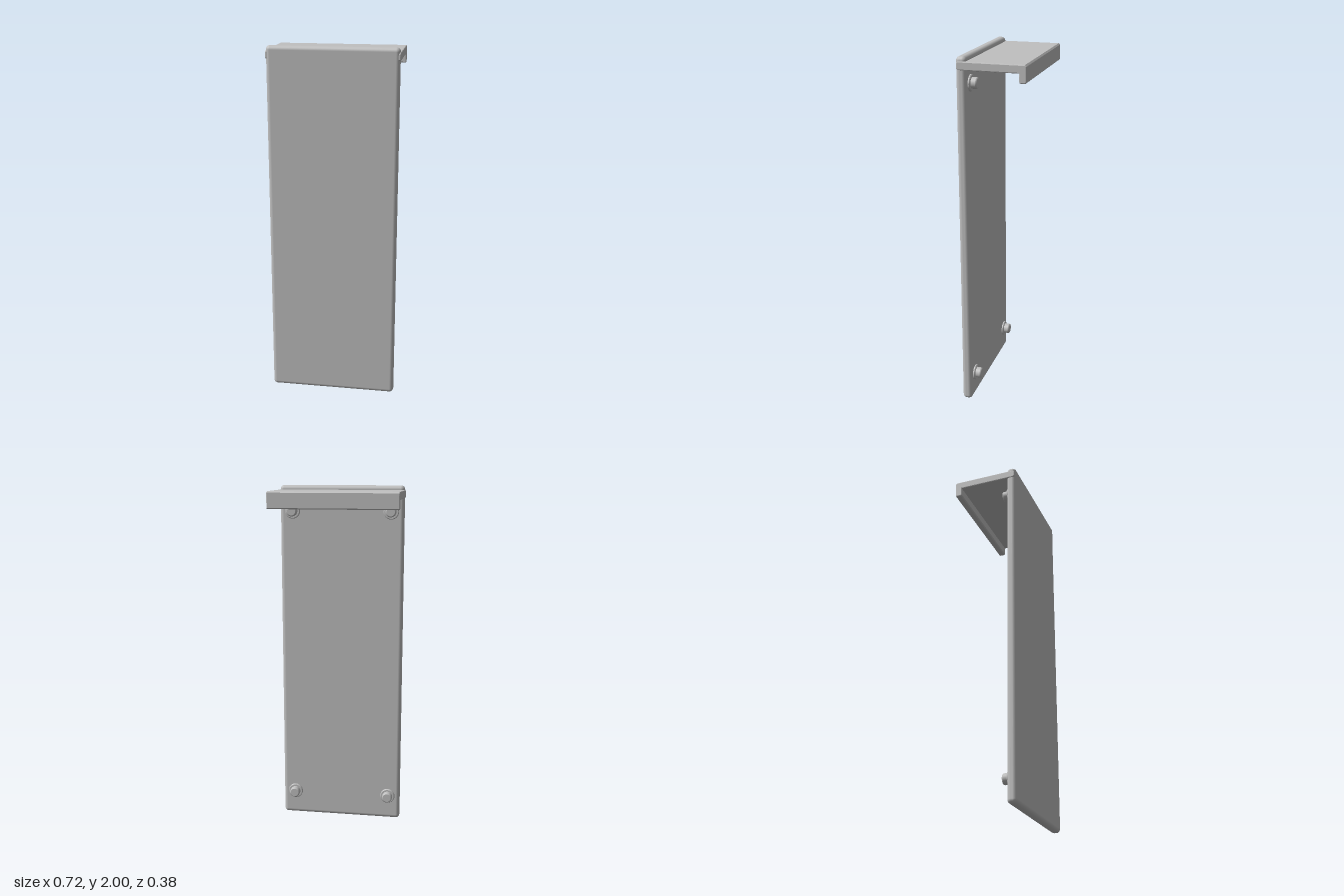
import * as THREE from 'three';
import { RoundedBoxGeometry } from 'three/addons/geometries/RoundedBoxGeometry.js';

export function createModel() {
  const group = new THREE.Group();
  const grey = new THREE.MeshStandardMaterial({ color: 0xc0c0c0 });
  grey.name = 'plain grey';

  const add = (name, geometry, x = 0, y = 0, z = 0) => {
    const mesh = new THREE.Mesh(geometry, grey);
    mesh.name = name;
    mesh.position.set(x, y, z);
    group.add(mesh);
    return mesh;
  };

  // Tall upright plate with rounded edges
  add('frontPanel', new RoundedBoxGeometry(0.716, 2, 0.055, 3, 0.022), 0, 1, 0.16);

  // Shelf with a downturned rear lip: profile in (z, y), extruded across x
  const profile = new THREE.Shape([
    [0.175, 1.93], [0.183, 1.938], [0.183, 1.967], [0.175, 1.975],
    [-0.18, 1.975], [-0.188, 1.967], [-0.188, 1.886], [-0.182, 1.88],
    [-0.155, 1.88], [-0.149, 1.886], [-0.149, 1.93],
  ].map(([z, y]) => new THREE.Vector2(z, y)));
  const bevel = 0.005;
  const width = 0.722;
  const shelf = new THREE.ExtrudeGeometry(profile, {
    depth: width - 2 * bevel,
    bevelSize: bevel,
    bevelThickness: bevel,
    bevelOffset: -bevel,
    bevelSegments: 2,
  });
  shelf.translate(0, 0, bevel - width / 2);
  shelf.rotateY(-Math.PI / 2);
  add('topShelf', shelf);

  // Four pegs on washers at the back corners, pointing to -z
  const lathe = (points) => {
    const g = new THREE.LatheGeometry(points.map(([r, h]) => new THREE.Vector2(r, h)), 24);
    return g.rotateX(-Math.PI / 2);
  };
  const washer = lathe([[0.044, 0], [0.044, 0], [0.044, 0.007], [0.044, 0.007], [0.04, 0.011], [0.04, 0.011], [0, 0.011]]);
  const peg = lathe([[0.03, 0], [0.03, 0.036], [0.03, 0.036], [0.028, 0.041], [0.024, 0.043], [0.024, 0.043], [0, 0.043]]);
  for (const x of [-0.285, 0.285]) {
    for (const y of [0.145, 1.855]) {
      add('pegWasher', washer, x, y, 0.133);
      add('peg', peg, x, y, 0.133);
    }
  }
  return group;
}
